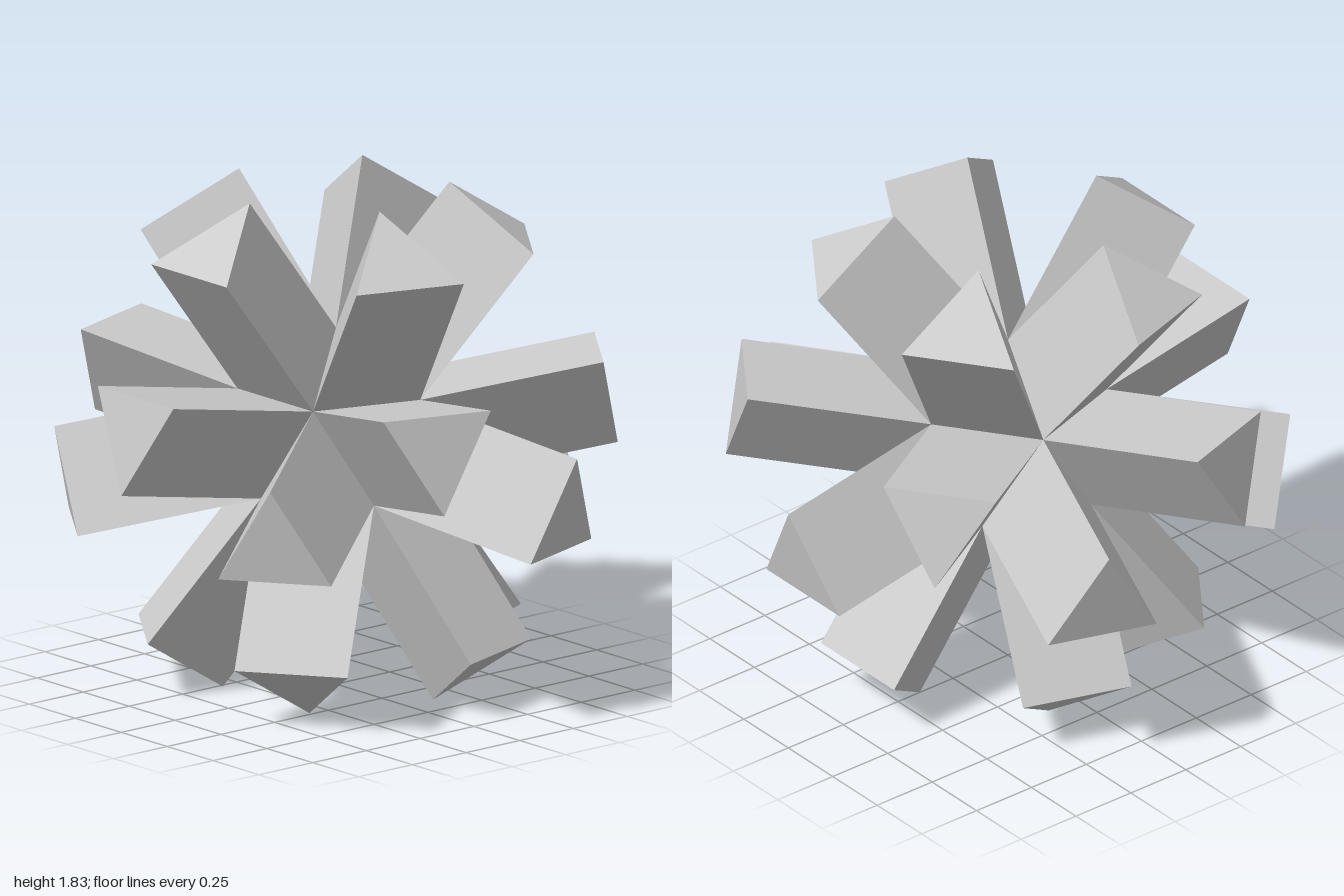
import * as THREE from 'three';
import { ConvexGeometry } from 'three/addons/geometries/ConvexGeometry.js';

const CORE_RADIUS = 0.391; // corner radius of the inner icosahedron
const ARM_LENGTH = 0.662;  // how far each face is pulled outwards

export function createModel() {
  const group = new THREE.Group();
  group.name = 'twentyArmedDie';
  const material = new THREE.MeshStandardMaterial({ color: 0xcccccc, flatShading: true });

  // Core corners: two poles and two staggered rings of five
  const ringY = CORE_RADIUS / Math.sqrt(5);
  const ringCorner = (step, y) => {
    const a = step * Math.PI / 5;
    return new THREE.Vector3(2 * ringY * Math.cos(a), y, 2 * ringY * Math.sin(a));
  };
  const top = new THREE.Vector3(0, CORE_RADIUS, 0);
  const bottom = new THREE.Vector3(0, -CORE_RADIUS, 0);
  const upper = (i) => ringCorner(2 * i, ringY);
  const lower = (i) => ringCorner(2 * i + 1, -ringY);

  // One triangular prism standing on a core face
  const addArm = (name, corners) => {
    const offset = new THREE.Vector3();
    corners.forEach((c) => offset.add(c));
    offset.setLength(ARM_LENGTH);
    const outer = corners.map((c) => c.clone().add(offset));
    const arm = new THREE.Mesh(new ConvexGeometry([...corners, ...outer]), material);
    arm.name = name;
    group.add(arm);
  };

  // Five arms in each of the four tiers
  for (let i = 0; i < 5; i++) {
    addArm(`topArm${i + 1}`, [top, upper(i), upper(i + 1)]);
    addArm(`upperMiddleArm${i + 1}`, [lower(i), upper(i), upper(i + 1)]);
    addArm(`lowerMiddleArm${i + 1}`, [upper(i + 1), lower(i), lower(i + 1)]);
    addArm(`bottomArm${i + 1}`, [bottom, lower(i), lower(i + 1)]);
  }

  // Stand the lowest tips on the ground
  const height = new THREE.Box3().setFromObject(group).min.y;
  group.children.forEach((arm) => { arm.position.y = -height; });
  return group;
}
